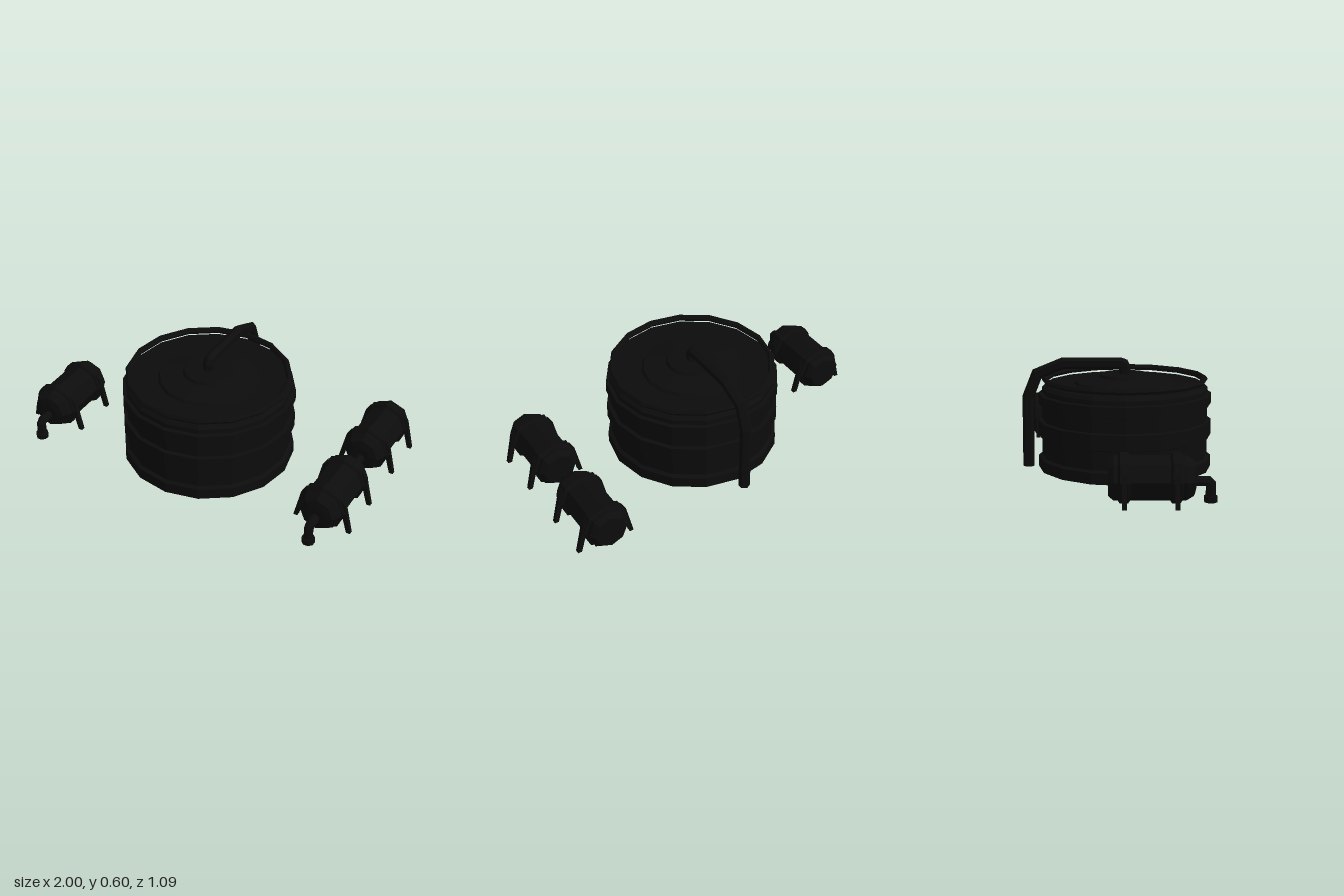
import * as THREE from 'three';

const blackMetal = new THREE.MeshStandardMaterial({ color: 0x0c0c0c });
blackMetal.name = 'blackMetal';
blackMetal.flatShading = true;

const lathe = (points, sides) =>
  new THREE.LatheGeometry(points.map(([r, y]) => new THREE.Vector2(r, y)), sides);

function add(parent, name, geometry, x = 0, y = 0, z = 0) {
  const mesh = new THREE.Mesh(geometry, blackMetal);
  mesh.name = name;
  mesh.position.set(x, y, z);
  parent.add(mesh);
  return mesh;
}

// Mitred pipe along [z, y] points, with a polygon section and closed ends
function pipeGeometry(path, radius, sides) {
  const pts = path.map(([z, y]) => new THREE.Vector2(z, y));
  const dirs = pts.slice(1).map((p, i) => p.clone().sub(pts[i]).normalize());
  const positions = [], index = [];
  pts.forEach((p, i) => {
    const a = dirs[Math.max(i - 1, 0)], b = dirs[Math.min(i, dirs.length - 1)];
    const n = new THREE.Vector2(-a.y - b.y, a.x + b.x).normalize();
    const stretch = 1 / (n.x * -a.y + n.y * a.x);
    for (let j = 0; j < sides; j++) {
      const t = j / sides * Math.PI * 2, o = radius * Math.cos(t) * stretch;
      positions.push(radius * Math.sin(t), p.y + n.y * o, p.x + n.x * o);
    }
  });
  for (let i = 0; i < pts.length - 1; i++) {
    for (let j = 0; j < sides; j++) {
      const a = i * sides + j, b = i * sides + (j + 1) % sides;
      index.push(a, b, a + sides, b, b + sides, a + sides);
    }
  }
  const last = (pts.length - 1) * sides;
  for (let j = 1; j < sides - 1; j++) {
    index.push(0, j + 1, j, last, last + j, last + j + 1);
  }
  // Make the faces point outwards whichever way the path runs
  const at = k => new THREE.Vector3().fromArray(positions, k * 3);
  const centre = new THREE.Vector3(0, pts[0].y, pts[0].x);
  const normal = at(1).sub(at(0)).cross(at(sides).sub(at(0)));
  if (normal.dot(at(0).sub(centre)) < 0) {
    for (let k = 0; k < index.length; k += 3) {
      [index[k + 1], index[k + 2]] = [index[k + 2], index[k + 1]];
    }
  }
  const geometry = new THREE.BufferGeometry();
  geometry.setAttribute('position', new THREE.Float32BufferAttribute(positions, 3));
  geometry.setIndex(index);
  const flat = geometry.toNonIndexed();
  flat.computeVertexNormals();
  return flat;
}

// Large round vessel with three bands, stepped lid, rail and outlet pipe
function createMainTank() {
  const tank = new THREE.Group();
  tank.name = 'mainTank';
  add(tank, 'vessel', lathe([
    [0, 0], [0.47, 0], [0.47, 0.06], [0.45, 0.07],
    [0.45, 0.17], [0.47, 0.178], [0.47, 0.262], [0.45, 0.266],
    [0.45, 0.345], [0.47, 0.35], [0.47, 0.408], [0.45, 0.412],
    [0.45, 0.437], [0.432, 0.457], [0.275, 0.457],
  ], 16));
  add(tank, 'lid', lathe([
    [0.275, 0.457], [0.265, 0.472], [0.14, 0.495], [0.132, 0.511], [0, 0.511],
  ], 16));
  const rail = new THREE.TorusGeometry(0.434, 0.017, 6, 16).rotateX(Math.PI / 2);
  add(tank, 'topRail', rail, 0, 0.482, 0);
  add(tank, 'outletPipe', pipeGeometry([
    [0, 0.5], [0, 0.545], [-0.008, 0.562], [-0.025, 0.568],
    [-0.335, 0.568], [-0.475, 0.51], [-0.525, 0.384], [-0.525, 0],
  ], 0.031, 6));
  return tank;
}

// Small horizontal tank with two collars, four splayed legs and a drain
function createSideTank(name, x, z) {
  const tank = new THREE.Group();
  tank.name = name;
  const axis = 0.134;
  const shell = lathe([
    [0, -0.205], [0.088, -0.205], [0.113, -0.178],
    [0.113, 0.175], [0.09, 0.212], [0.05, 0.222], [0, 0.222],
  ], 8).rotateX(Math.PI / 2);
  add(tank, 'shell', shell, 0, axis, 0);

  const collar = lathe([
    [0.11, -0.032], [0.128, -0.02], [0.128, 0.02], [0.11, 0.032],
  ], 8).rotateX(Math.PI / 2);
  // Leg outline: narrow top against the collar, foot spread outwards
  const legShape = new THREE.Shape([
    [0.1, 0.15], [0.138, 0.015], [0.16, 0.015], [0.122, 0.18], [0.1, 0.215],
  ].map(([px, py]) => new THREE.Vector2(px, py)));
  const leg = new THREE.ExtrudeGeometry(legShape, { depth: 0.024, bevelEnabled: false });
  leg.translate(0, 0, -0.012);
  for (const cz of [-0.127, 0.127]) {
    add(tank, 'collar', collar, 0, axis, cz);
    add(tank, 'leftLeg', leg, 0, 0, cz);
    add(tank, 'rightLeg', leg, 0, 0, cz).rotation.y = Math.PI;
  }

  add(tank, 'drainPipe', pipeGeometry([
    [0.2, 0.118], [0.28, 0.118], [0.294, 0.104], [0.294, 0.03],
  ], 0.025, 8));
  add(tank, 'drainFlange', new THREE.CylinderGeometry(0.034, 0.034, 0.03, 8)
    .rotateY(Math.PI / 8), 0, 0.03, 0.294);
  tank.position.set(x, 0, z);
  return tank;
}

export function createModel() {
  const model = new THREE.Group();
  model.name = 'storageTanks';
  const main = createMainTank();
  main.position.z = 0.043;
  model.add(
    main,
    createSideTank('rightTank', -0.84, 0.155),
    createSideTank('leftFrontTank', 0.838, 0.215),
    createSideTank('leftBackTank', 0.838, -0.34),
  );
  return model;
}
